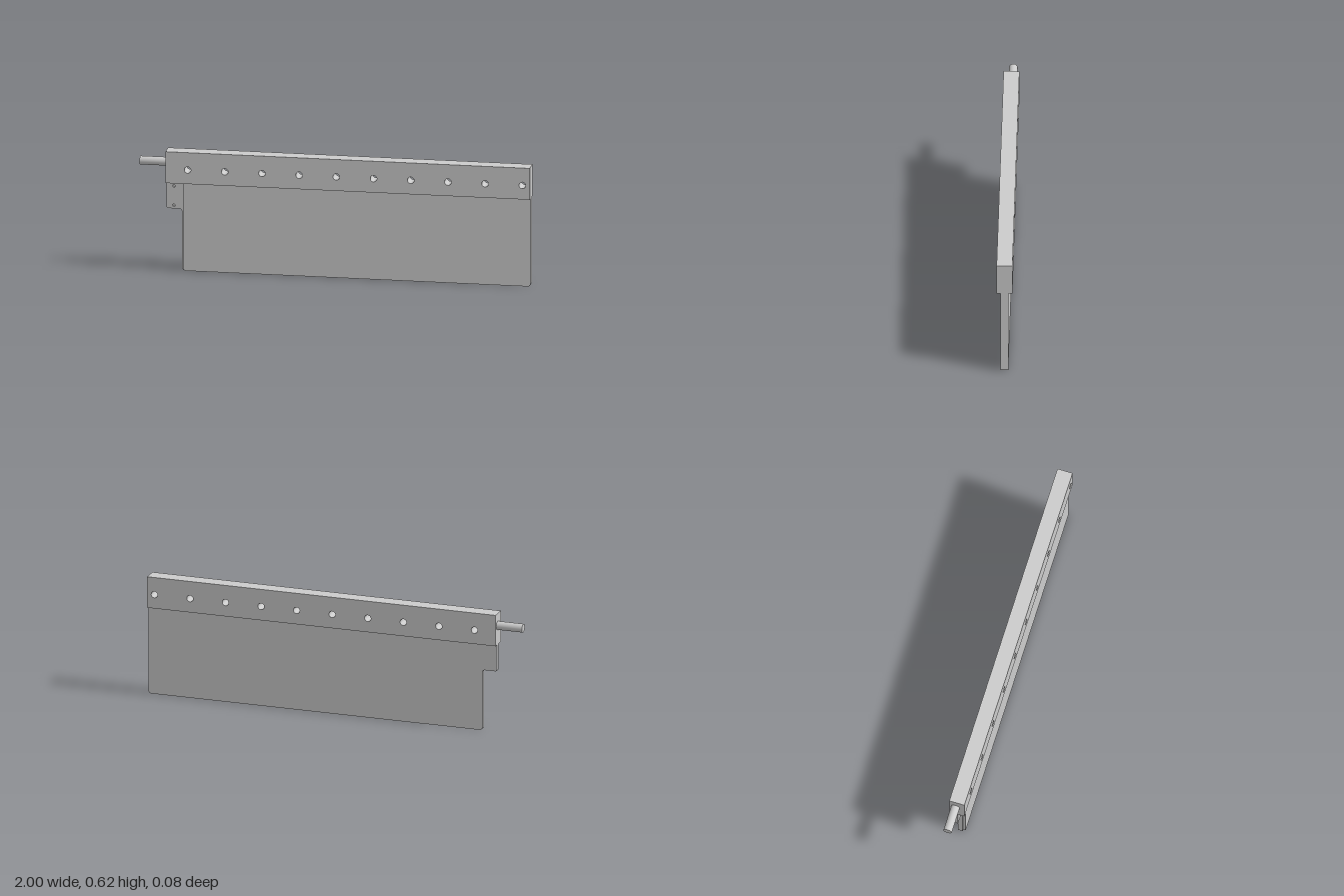
import * as THREE from 'three';

const LEFT = -0.863, RIGHT = 1, BAR_BOTTOM = 0.46, BAR_TOP = 0.624;

export function createModel() {
  const model = new THREE.Group();
  const material = new THREE.MeshStandardMaterial({ color: 0xcccccc });

  const add = (name, geometry) => {
    const mesh = new THREE.Mesh(geometry, material);
    mesh.name = name;
    model.add(mesh);
    return mesh;
  };

  // Extrude a front outline between two depths
  const plate = (name, shape, z0, z1) => {
    const geometry = new THREE.ExtrudeGeometry(shape, { depth: z1 - z0, bevelEnabled: false, curveSegments: 12 });
    return add(name, geometry.translate(0, 0, z0));
  };

  const drill = (shape, x, y, r) => {
    shape.holes.push(new THREE.Path().absarc(x, y, r, 0, Math.PI * 2, true));
  };

  // Clamping bar with a row of through holes
  const bar = new THREE.Shape();
  bar.moveTo(LEFT, BAR_BOTTOM).lineTo(RIGHT, BAR_BOTTOM).lineTo(RIGHT, BAR_TOP).lineTo(LEFT, BAR_TOP).closePath();
  for (let i = 0; i < 10; i++) drill(bar, -0.75 + i * 0.1902, 0.533, 0.017);
  plate('clampBar', bar, -0.04, 0.04);

  // Blade outline with rounded lower corners; the rear plate carries a side tab
  const bladeOutline = (x0, tabbed) => {
    const r = 0.014, tabY = 0.32;
    const s = new THREE.Shape();
    s.moveTo(x0 + r, 0).lineTo(RIGHT - r, 0);
    s.absarc(RIGHT - r, r, r, -Math.PI / 2, 0, false);
    s.lineTo(RIGHT, BAR_BOTTOM);
    if (tabbed) {
      s.lineTo(LEFT, BAR_BOTTOM).lineTo(LEFT, tabY + 0.008);
      s.absarc(LEFT + 0.008, tabY + 0.008, 0.008, Math.PI, Math.PI * 1.5, false);
      s.lineTo(x0 - r, tabY);
      s.absarc(x0 - r, tabY - r, r, Math.PI / 2, 0, true);
    } else {
      s.lineTo(x0, BAR_BOTTOM);
    }
    s.lineTo(x0, r);
    s.absarc(x0 + r, r, r, Math.PI, Math.PI * 1.5, false);
    return s;
  };

  // Rear plate in two layers, so the tab's small holes are blind
  plate('rearPlate', bladeOutline(-0.785, true), -0.019, -0.008);
  const drilled = bladeOutline(-0.785, true);
  for (const y of [0.336, 0.437]) drill(drilled, -0.826, y, 0.007);
  plate('rearPlateDrilledLayer', drilled, -0.008, 0.006);

  // Front plate
  plate('frontPlate', bladeOutline(-0.776, false), 0.006, 0.019);

  // Rod leaving the end of the bar
  const rod = add('endRod', new THREE.CylinderGeometry(0.022, 0.022, 0.14, 32));
  rod.rotation.z = Math.PI / 2;
  rod.position.set(-0.93, 0.561, -0.007);

  return model;
}
